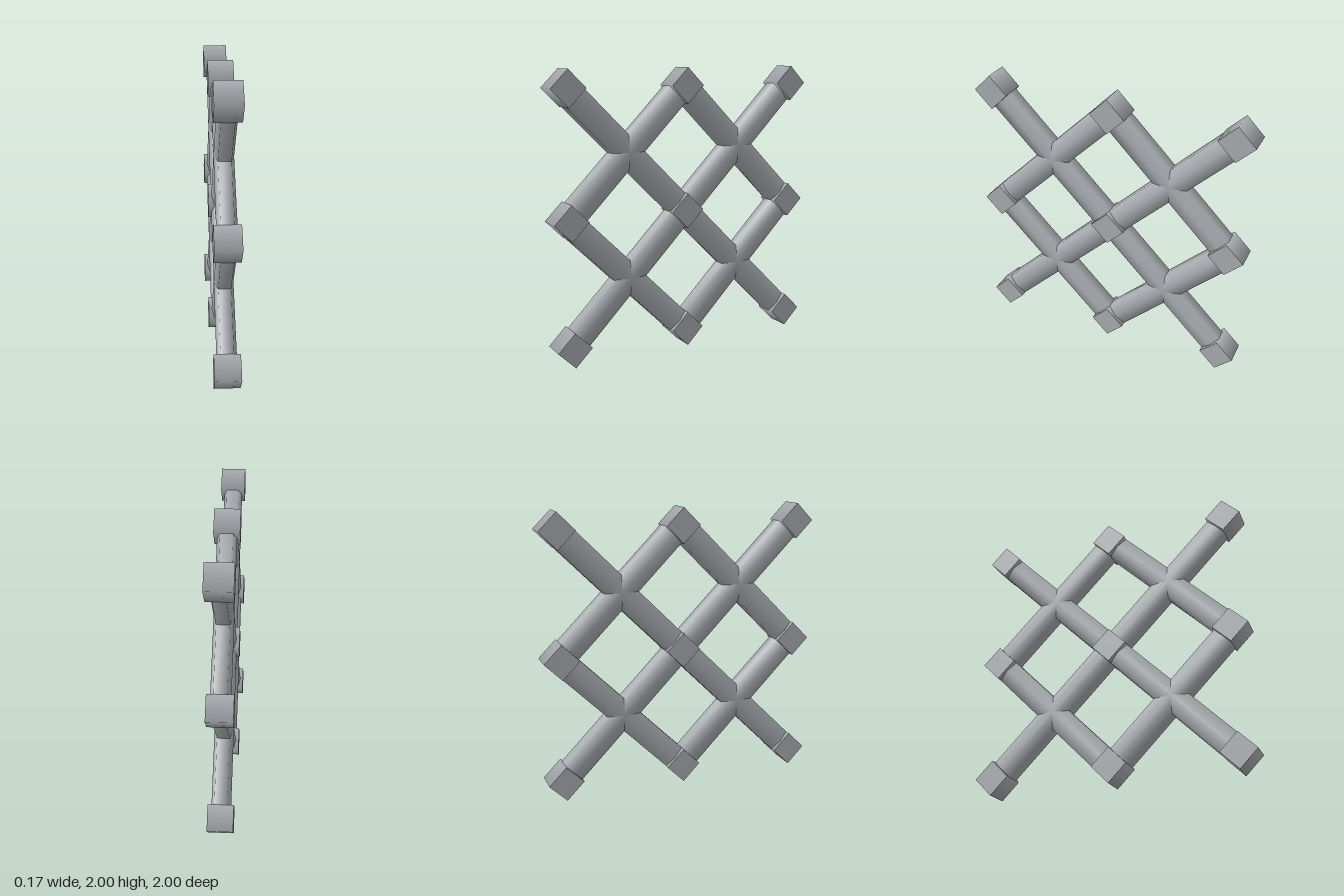
import * as THREE from 'three';
import { mergeVertices } from 'three/addons/utils/BufferGeometryUtils.js';

const STEP = 0.876;   // spacing of the joint blocks
const BLOCK = 0.124;  // half diagonal of a block

// Six-sided bar, flat on its two edges and ridged on its two faces
function barGeometry(length) {
  const geo = new THREE.CylinderGeometry(1, 1, length, 6, 1, true);
  const p = geo.attributes.position;
  for (let i = 0; i < p.count; i++) {
    const x = p.getX(i), z = p.getZ(i);
    const ridge = Math.abs(x) < 0.01;
    p.setX(i, ridge ? 0 : Math.sign(x) * 0.0873);
    p.setZ(i, Math.sign(z) * (ridge ? 0.067 : 0.0437));
  }
  geo.deleteAttribute('uv');
  geo.deleteAttribute('normal');
  const smooth = mergeVertices(geo);
  smooth.computeVertexNormals();
  return smooth.rotateY(Math.PI / 2);
}

export function createModel() {
  const model = new THREE.Group();
  model.name = 'latticePanel';
  const steel = new THREE.MeshStandardMaterial({ color: 0xa9adb1 });
  steel.name = 'steelGrey';

  const add = (name, geo, y, z, tilt = 0) => {
    const mesh = new THREE.Mesh(geo, steel);
    mesh.name = name;
    mesh.position.set(0, y, z);
    mesh.rotation.x = tilt;
    model.add(mesh);
  };

  // Joint blocks, standing on their corners in a three by three grid
  const block = new THREE.CylinderGeometry(BLOCK, BLOCK, 0.175, 4).rotateZ(Math.PI / 2);
  for (let row = -1; row <= 1; row++) {
    for (let col = -1; col <= 1; col++) add('jointBlock', block, 1 + row * STEP, col * STEP);
  }

  // Diagonal bars: one long and two short in each direction
  const longBar = barGeometry(2 * STEP * Math.SQRT2);
  const shortBar = barGeometry(STEP * Math.SQRT2);
  for (const s of [-1, 1]) {
    const tilt = s * Math.PI / 4;
    add('longDiagonalBar', longBar, 1, 0, tilt);
    for (const side of [-1, 1]) {
      add('shortDiagonalBar', shortBar, 1 - side * s * STEP / 2, side * STEP / 2, tilt);
    }
  }
  return model;
}
